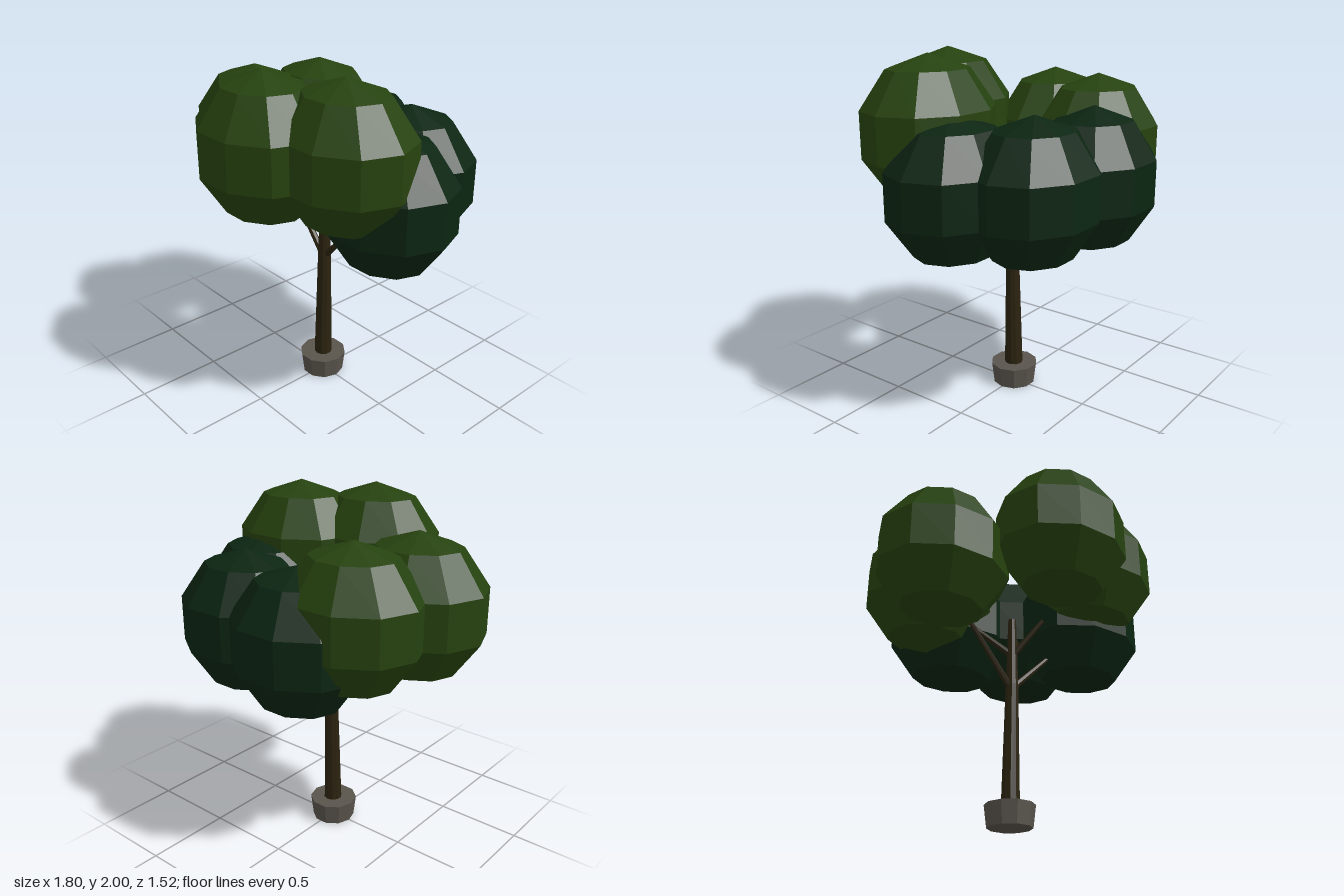
import * as THREE from 'three';

const flat = (name, color) => {
  const m = new THREE.MeshStandardMaterial({ color, flatShading: true });
  m.name = name;
  return m;
};

export function createModel() {
  const tree = new THREE.Group();
  tree.name = 'tree';
  const lightLeaf = flat('light leaf green', 0x26420f);
  const darkLeaf = flat('dark leaf green', 0x0c2512);
  const bark = flat('bark brown', 0x2b2310);
  const stone = flat('stone grey', 0x59544c);

  const add = (name, geometry, material, x = 0, y = 0, z = 0) => {
    const mesh = new THREE.Mesh(geometry, material);
    mesh.name = name;
    mesh.position.set(x, y, z);
    tree.add(mesh);
    return mesh;
  };

  // Tapered limb between two points
  const limb = (name, from, to, r0, r1, sides) => {
    const a = new THREE.Vector3(...from), b = new THREE.Vector3(...to);
    const dir = b.clone().sub(a);
    const mid = a.clone().add(b).multiplyScalar(0.5);
    const mesh = add(name, new THREE.CylinderGeometry(r1, r0, dir.length(), sides), bark, mid.x, mid.y, mid.z);
    mesh.quaternion.setFromUnitVectors(new THREE.Vector3(0, 1, 0), dir.normalize());
  };

  // Pot
  const pot = new THREE.CylinderGeometry(0.14, 0.125, 0.125, 10);
  pot.rotateY(Math.PI / 2);
  add('pot', pot, stone, -0.005, 0.0625, 0);

  // Trunk and forked branches
  limb('trunk', [-0.003, 0.01, 0], [0.01, 0.82, 0], 0.056, 0.038, 10);
  limb('upperTrunk', [0.01, 0.81, 0], [0.012, 1.24, 0], 0.038, 0.024, 10);
  const branches = [
    [[0.01, 0.8, 0], [0.24, 1.03, 0.03]],
    [[0, 0.8, 0], [-0.28, 1.14, 0]],
    [[0.01, 0.99, 0], [0.15, 1.22, -0.14]],
    [[0.01, 1.01, 0], [-0.17, 1.19, -0.13]],
    [[0.01, 1.0, 0], [0.14, 1.22, 0.13]],
  ];
  branches.forEach(([a, b]) => limb('branch', a, b, 0.021, 0.014, 7));

  // Crown: a ring of faceted clumps, slightly shallower in depth
  const clump = new THREE.SphereGeometry(0.41, 10, 5);
  clump.scale(1, 1, 0.863);
  const clumps = [
    [0.04, 1.59, 0.44, lightLeaf],
    [0.43, 1.59, 0.235, lightLeaf],
    [-0.515, 1.45, 0.07, lightLeaf],
    [-0.387, 1.45, -0.31, lightLeaf],
    [-0.14, 1.31, -0.44, darkLeaf],
    [0.31, 1.31, -0.365, darkLeaf],
    [0.51, 1.31, 0, darkLeaf],
  ];
  clumps.forEach(([x, y, z, material]) => add('leafClump', clump, material, x, y, z));

  return tree;
}
